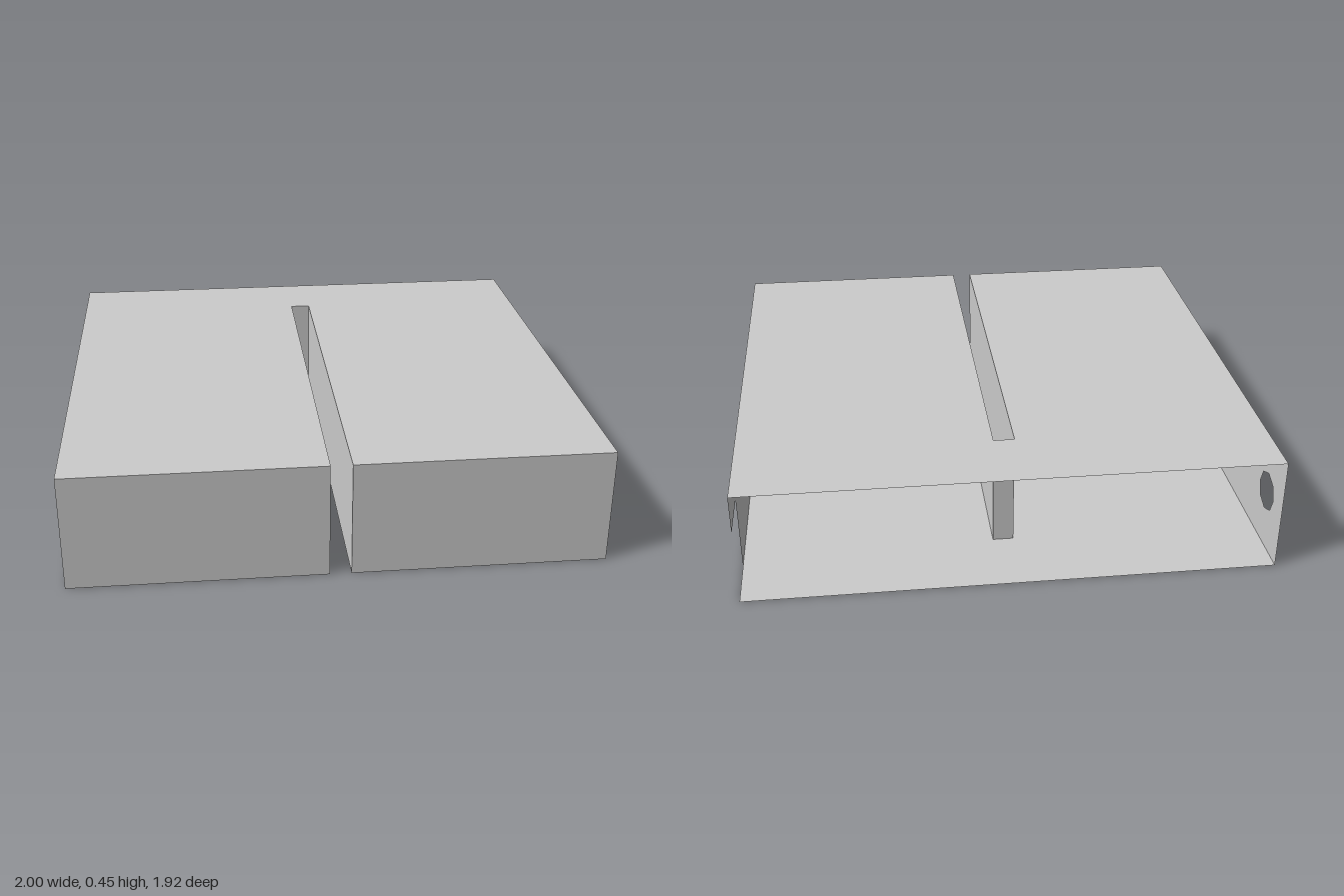
import * as THREE from 'three';

const W = 1, D = 0.96, H = 0.447;   // half width, half depth, height
const SLOT = 0.04, SLOT_END = -0.67; // slot half width and its closed end

// Thin sheet from a list of corner pairs
function outline(points) {
  return new THREE.Shape(points.map(([a, b]) => new THREE.Vector2(a, b)));
}

export function createModel() {
  const model = new THREE.Group();
  const material = new THREE.MeshStandardMaterial({
    color: 0xcccccc, flatShading: true, side: THREE.DoubleSide,
  });

  function panel(name, shape, position, rotation = [0, 0, 0]) {
    const mesh = new THREE.Mesh(new THREE.ShapeGeometry(shape), material);
    mesh.name = name;
    mesh.position.set(...position);
    mesh.rotation.set(...rotation);
    model.add(mesh);
  }

  const flat = [Math.PI / 2, 0, 0];      // shape axes become x, z
  const sideways = [0, -Math.PI / 2, 0]; // shape axes become z, y

  // Top and bottom plates, slotted from the front
  const plate = outline([
    [-W, -D], [W, -D], [W, D], [SLOT, D], [SLOT, SLOT_END],
    [-SLOT, SLOT_END], [-SLOT, D], [-W, D],
  ]);
  panel('topPlate', plate, [0, H, 0], flat);
  panel('bottomPlate', plate, [0, 0, 0], flat);

  // Left wall, with a cutout in its lower back corner
  panel('leftWall', outline([
    [-0.74, 0], [D, 0], [D, H], [-D, H], [-D, 0.3], [-0.74, 0.3],
  ]), [W, 0, 0], sideways);

  // Right wall, with an eight-sided hole near the back
  const rightWall = outline([[-D, 0], [D, 0], [D, H], [-D, H]]);
  const hole = [];
  for (let i = 0; i < 8; i++) {
    const a = -i * Math.PI / 4;
    hole.push(new THREE.Vector2(-0.785 + 0.077 * Math.cos(a), 0.223 + 0.077 * Math.sin(a)));
  }
  rightWall.holes.push(new THREE.Path(hole));
  panel('rightWall', rightWall, [-W, 0, 0], sideways);

  // Front walls and slot walls on both sides; the back stays open
  const slotWall = outline([[SLOT_END, 0], [D, 0], [D, H], [SLOT_END, H]]);
  for (const [side, s] of [['left', 1], ['right', -1]]) {
    const [x0, x1] = s > 0 ? [SLOT, W] : [-W, -SLOT];
    panel(side + 'FrontWall', outline([[x0, 0], [x1, 0], [x1, H], [x0, H]]), [0, 0, D]);
    panel(side + 'SlotWall', slotWall, [s * SLOT, 0, 0], sideways);
  }

  // Closed end of the slot
  panel('slotEndWall', outline([[-SLOT, 0], [SLOT, 0], [SLOT, H], [-SLOT, H]]), [0, 0, SLOT_END]);

  return model;
}
